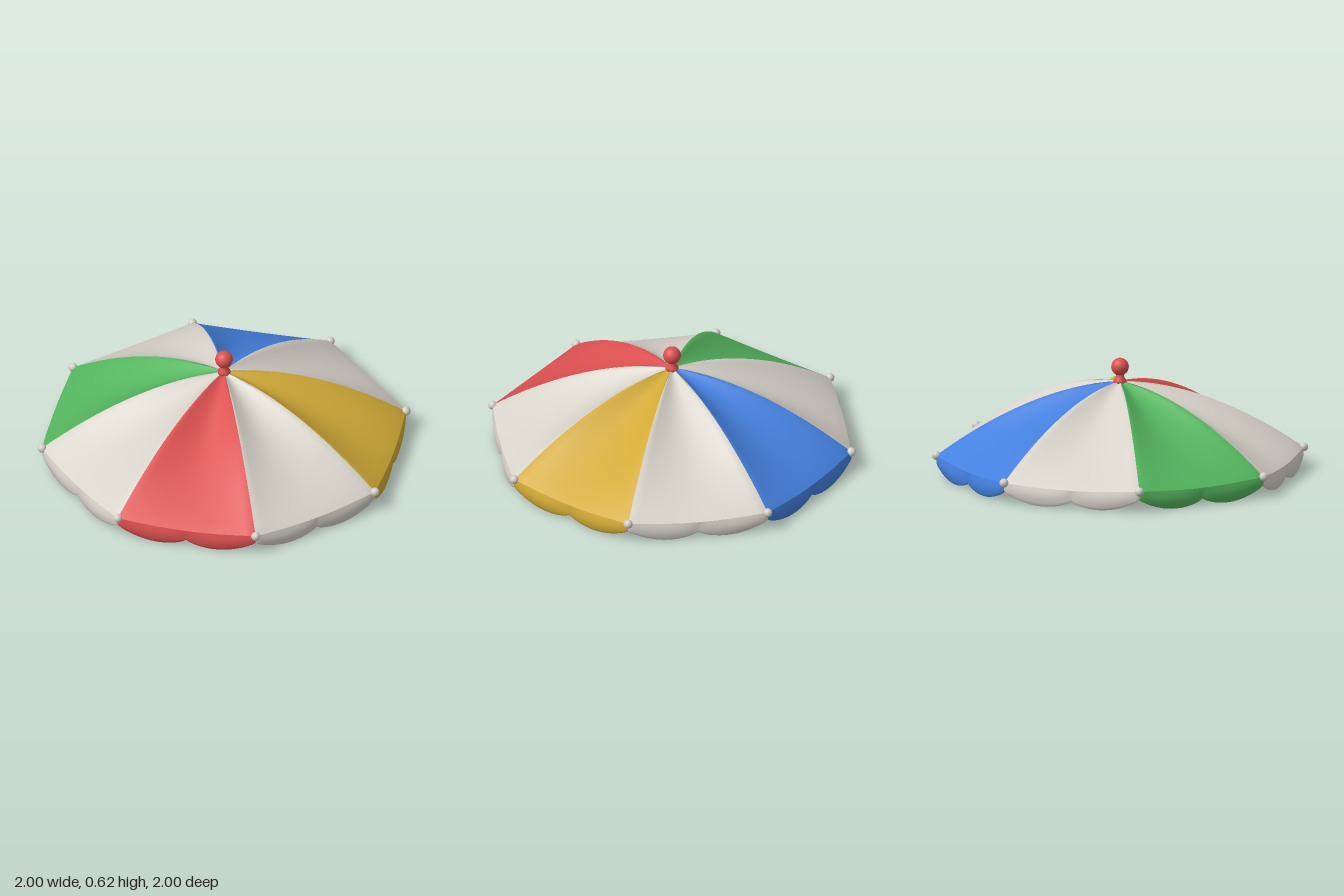
import * as THREE from 'three';
import { mergeVertices } from 'three/addons/utils/BufferGeometryUtils.js';

const mat = (name, color, side = THREE.FrontSide) => {
  const m = new THREE.MeshStandardMaterial({ color, side });
  m.name = name;
  return m;
};

const R = 0.976, TOP = 0.49, RIM = 0.11, PANELS = 8;
const STEP = (Math.PI * 2) / PANELS;

// Height of a rib at fraction d from crown to rim
const ribY = (d) => TOP - (TOP - RIM) * Math.pow(d, 1.85);
// Point at a compass angle measured from +z towards +x
const polar = (a, r, y) => new THREE.Vector3(Math.sin(a) * r, y, Math.cos(a) * r);

// Cloth panel sagging between two ribs
function clothPoint(a, u, d) {
  const p = polar(a, R * d, 0).lerp(polar(a + STEP, R * d, 0), u);
  const s = Math.sin(Math.PI * u);
  p.add(polar(a + STEP / 2, 0.014 * s * d ** 3, 0));
  p.y = ribY(d) - s * (0.055 * Math.sin(Math.PI * d) + 0.015 * d);
  return p;
}

// Hanging border with two scallops on each panel
function valancePoint(a, u, v) {
  const p = clothPoint(a, u, 1);
  const wave = Math.pow(Math.abs(Math.sin(2 * Math.PI * u)), 0.7);
  const depth = 0.042 + 0.015 * Math.sin(Math.PI * u) + 0.046 * wave;
  p.add(polar(a + STEP / 2, 0.01 * Math.sin(Math.PI * v) * wave, 0));
  p.y -= depth * v;
  return p;
}

// Thin smooth shell: each row loops over the outer face and back along the inner one
function shell(point, inner, n, rows, v0 = 0) {
  const pos = [], index = [], loop = 2 * n + 2;
  for (let j = 0; j <= rows + 1; j++) {
    const v = v0 + (1 - v0) * Math.min(1, j / rows);
    for (let i = 0; i < loop; i++) {
      const outer = i <= n;
      const depth = j > rows ? 0.5 : outer ? 0 : 1;
      const p = point(outer ? i / n : (loop - 1 - i) / n, v).addScaledVector(inner, depth);
      pos.push(p.x, p.y, p.z);
      if (j <= rows) {
        const a = j * loop + i, b = j * loop + ((i + 1) % loop);
        index.push(a, a + loop, b, b, a + loop, b + loop);
      }
    }
  }
  const g = new THREE.BufferGeometry();
  g.setAttribute('position', new THREE.Float32BufferAttribute(pos, 3));
  g.setIndex(index);
  const welded = mergeVertices(g, 1e-5);
  welded.computeVertexNormals();
  return welded;
}

export function createModel() {
  const model = new THREE.Group();
  model.name = 'parasolCanopy';

  const red = mat('red cloth', 0xdc5050, THREE.DoubleSide);
  const yellow = mat('yellow cloth', 0xd2aa36, THREE.DoubleSide);
  const blue = mat('blue cloth', 0x4480de, THREE.DoubleSide);
  const green = mat('green cloth', 0x54b55e, THREE.DoubleSide);
  const white = mat('white cloth', 0xd8d3ca, THREE.DoubleSide);
  const frame = mat('frame', 0xd4cfc7);
  const colours = [red, white, yellow, white, blue, white, green, white];

  const add = (name, geometry, material) => {
    const m = new THREE.Mesh(geometry, material);
    m.name = name;
    model.add(m);
    return m;
  };

  for (let k = 0; k < PANELS; k++) {
    const a = k * STEP;
    // Cloth
    const down = new THREE.Vector3(0, -0.012, 0);
    add('panel', shell((u, d) => clothPoint(a, u, d), down, 14, 16, 0.01), colours[k]);
    const inward = polar(a + STEP / 2, -0.01, 0);
    add('valance', shell((u, v) => valancePoint(a, u, v), inward, 40, 6), colours[k]);

    // Rib under the seam
    const path = [];
    for (let i = 0; i <= 12; i++) {
      const d = 0.02 + 0.98 * (i / 12);
      path.push(polar(a, R * d - 0.004, ribY(d) - 0.016));
    }
    add('rib', new THREE.TubeGeometry(new THREE.CatmullRomCurve3(path), 24, 0.01, 8), frame);

    // Ball at the rib tip
    const tip = add('ribTip', new THREE.SphereGeometry(0.024, 16, 12), frame);
    tip.position.copy(polar(a, R, RIM));

    // Stretcher from the runner to the rib
    const strut = new THREE.LineCurve3(polar(a, 0.03, 0.14), polar(a, R * 0.47, ribY(0.47) - 0.018));
    add('stretcher', new THREE.TubeGeometry(strut, 1, 0.008, 8), frame);
  }

  // Centre shaft and runner
  const shaft = add('shaft', new THREE.CylinderGeometry(0.034, 0.034, 0.36, 24), frame);
  shaft.position.y = 0.3;
  const runner = add('runner', new THREE.CylinderGeometry(0.05, 0.05, 0.06, 24), frame);
  runner.position.y = 0.122;

  // Finial on the crown
  const neck = [[0, 0.482], [0.034, 0.482], [0.034, 0.495], [0.024, 0.507], [0.02, 0.525], [0.02, 0.54]]
    .map(([x, y]) => new THREE.Vector2(x, y));
  add('finialNeck', new THREE.LatheGeometry(neck, 24), red);
  const ball = add('finialBall', new THREE.SphereGeometry(0.047, 24, 16), red);
  ball.position.y = 0.568;

  return model;
}
